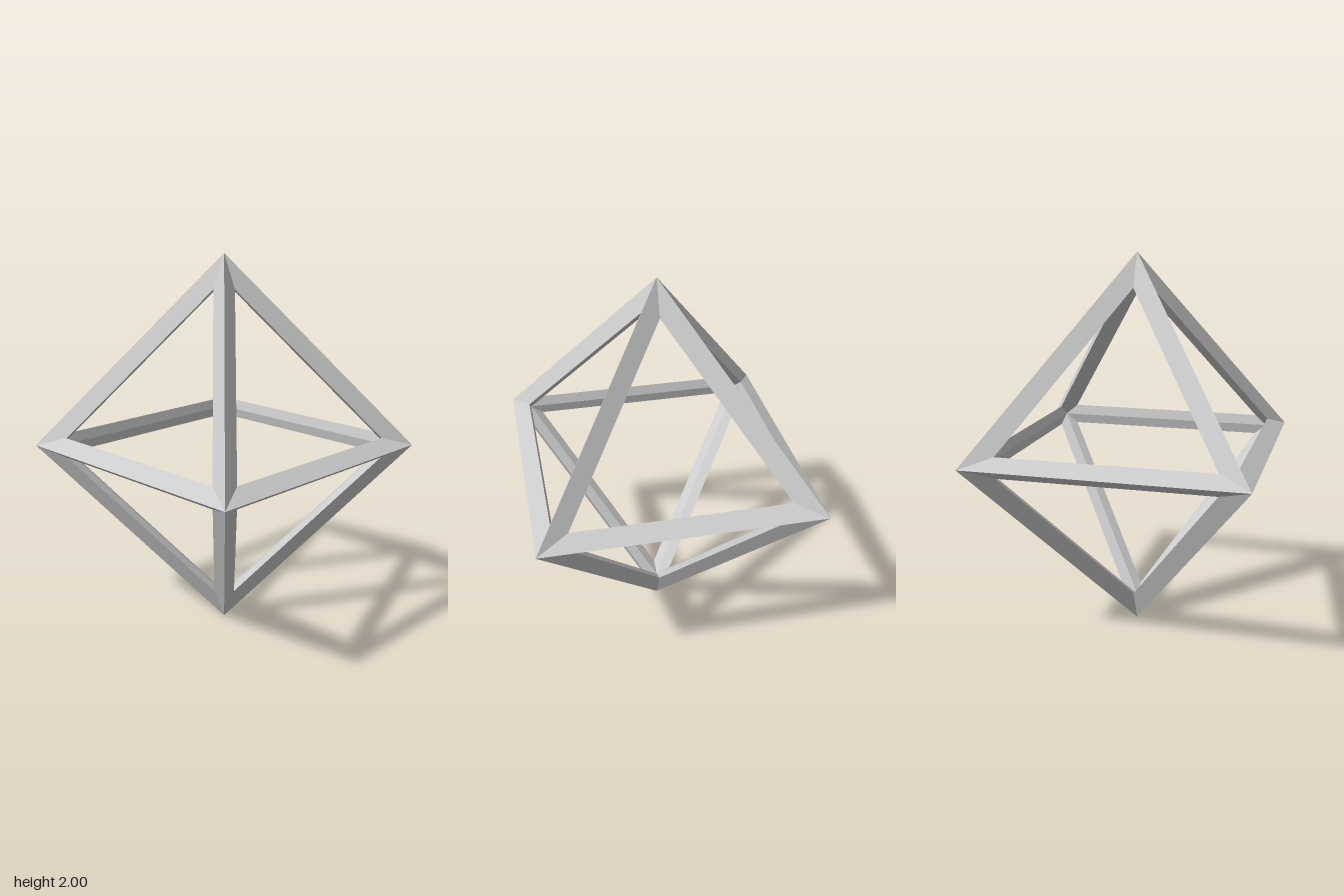
import * as THREE from 'three';

const TIP = 1;                 // sharp outer corner, distance from the centre
const ALONG = 0.825;           // window corner: along its axis
const ASIDE = 0.054;           // window corner: along the other two axes
const INNER = 0.862;           // corner where the inner creases meet

// Four-sided bar between the corners on axes a and b, mitred at both ends
function barGeometry(a, b) {
  const c = new THREE.Vector3().crossVectors(a, b);
  const section = (p, q) => {
    const side = (s) => p.clone().multiplyScalar(ALONG)
      .addScaledVector(q, ASIDE).addScaledVector(c, s * ASIDE);
    return [p.clone().multiplyScalar(TIP), side(1), p.clone().multiplyScalar(INNER), side(-1)];
  };
  const start = section(a, b);
  const end = section(b, a);
  const points = [];
  for (let k = 0; k < 4; k++) {
    const n = (k + 1) % 4;
    points.push(start[k], end[k], end[n], start[k], end[n], start[n]);
  }
  const geometry = new THREE.BufferGeometry().setFromPoints(points);
  geometry.computeVertexNormals();
  return geometry;
}

export function createModel() {
  const group = new THREE.Group();
  group.name = 'openOctahedron';
  const material = new THREE.MeshStandardMaterial({ color: 0xcccccc, flatShading: true });

  const addBar = (name, a, b) => {
    const bar = new THREE.Mesh(barGeometry(a, b), material);
    bar.name = name;
    bar.position.y = 1;
    group.add(bar);
  };

  // Corners of the middle square, and the two apexes
  const corners = [0, 1, 2, 3].map((i) => {
    const t = Math.PI / 4 + i * Math.PI / 2;
    return new THREE.Vector3(Math.cos(t), 0, Math.sin(t));
  });
  const top = new THREE.Vector3(0, 1, 0);
  const bottom = new THREE.Vector3(0, -1, 0);

  corners.forEach((corner, i) => {
    addBar(`middleBar${i + 1}`, corner, corners[(i + 1) % 4]);
    addBar(`upperBar${i + 1}`, corner, top);
    addBar(`lowerBar${i + 1}`, corner, bottom);
  });
  return group;
}
